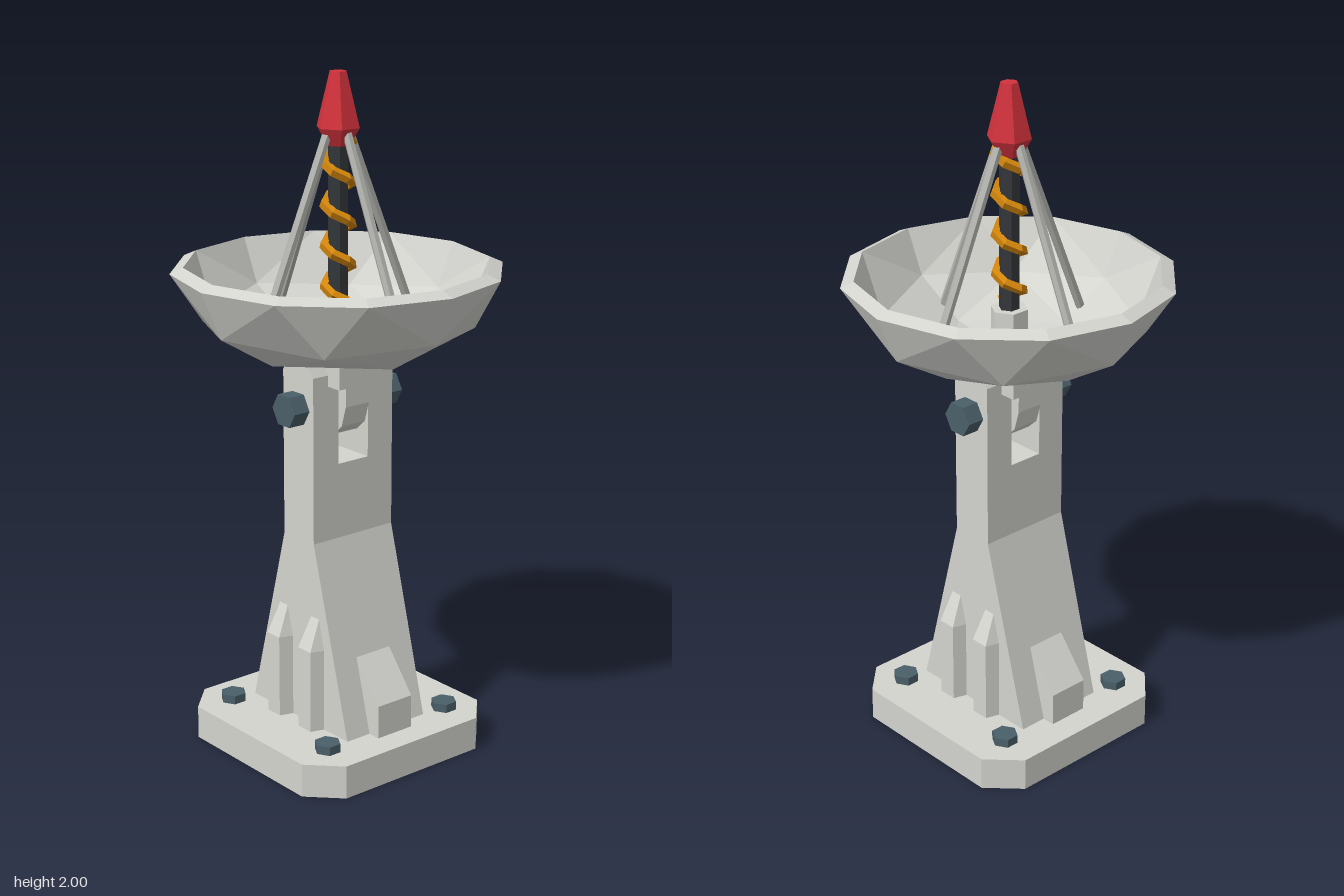
import * as THREE from 'three';
import { ConvexGeometry } from 'three/addons/geometries/ConvexGeometry.js';

const paint = (name, color) => Object.assign(new THREE.MeshStandardMaterial({ color }), { name });

export function createModel() {
  const model = new THREE.Group();
  model.name = 'dishAntenna';
  const body = paint('paleGrey', 0xd3d4ce);
  const steel = paint('strutGrey', 0xb4b5b0);
  const slate = paint('boltSlate', 0x4a5f69);
  const dark = paint('mastCharcoal', 0x34373a);
  const orange = paint('coilOrange', 0xd98a0c);
  const red = paint('tipRed', 0xd2323c);

  // Adds a faceted mesh
  const add = (name, geometry, material, x = 0, y = 0, z = 0) => {
    const g = geometry.index ? geometry.toNonIndexed() : geometry;
    g.computeVertexNormals();
    const mesh = new THREE.Mesh(g, material);
    mesh.name = name;
    mesh.position.set(x, y, z);
    model.add(mesh);
    return mesh;
  };
  // Extrudes an outline centred along z
  const slab = (points, depth) => {
    const shape = new THREE.Shape(points.map(([x, y]) => new THREE.Vector2(x, y)));
    return new THREE.ExtrudeGeometry(shape, { depth, bevelEnabled: false }).translate(0, 0, -depth / 2);
  };
  // Completes a right-hand outline with its mirror image
  const mirrored = (half) => [...half, ...half.map(([x, y]) => [-x, y]).reverse()];
  const hex = (top, bottom, height) => new THREE.CylinderGeometry(top, bottom, height, 6);

  // Base plate with cut corners, and its bolts
  const plate = slab(mirrored([[0.25, -0.34], [0.34, -0.25], [0.34, 0.25], [0.25, 0.34]]), 0.1);
  add('basePlate', plate.rotateX(-Math.PI / 2), body, 0, 0.05, 0);
  for (const x of [-1, 1]) for (const z of [-1, 1]) {
    add('baseBolt', hex(0.039, 0.039, 0.03), slate, x * 0.225, 0.111, z * 0.225);
  }

  // Tapered pillar and the two fork arms
  add('pillar', slab(mirrored([[0.22, 0.1], [0.068, 0.665], [0.068, 0.89]]), 0.294), body);
  const arm = mirrored([[0.068, 0.89], [0.068, 1.16], [0.048, 1.19]]);
  for (const s of [-1, 1]) add('forkArm', slab(arm, 0.092), body, 0, 0, s * 0.101);

  // Ribs on front and back, wedges on the sides
  for (const s of [-1, 1]) {
    for (const x of [-0.073, 0.073]) {
      const rib = [];
      for (const m of [-1, 1]) {
        for (const y of [0.1, 0.35]) {
          rib.push(new THREE.Vector3(x + m * 0.043, y, s * 0.14), new THREE.Vector3(x + m * 0.028, y, s * 0.188));
        }
        rib.push(new THREE.Vector3(x + m * 0.018, 0.44, s * 0.147), new THREE.Vector3(x + m * 0.018, 0.44, s * 0.14));
      }
      add('pillarRib', new ConvexGeometry(rib), body);
    }
    const wedge = slab([[0.1, 0.1], [0.26, 0.1], [0.26, 0.2], [0.158, 0.325], [0.1, 0.325]], 0.126);
    add('sideWedge', s < 0 ? wedge.rotateY(Math.PI) : wedge, body);
  }

  // Hinge: knuckle, bracket and pivot bolt
  add('hingeKnuckle', slab(mirrored([[0.035, 0.97], [0.068, 1.0], [0.086, 1.06], [0.086, 1.15]]), 0.086), body);
  add('dishBracket', new THREE.BoxGeometry(0.236, 0.07, 0.186), body, 0, 1.162, 0);
  add('pivotBolt', hex(0.051, 0.051, 0.4).rotateY(Math.PI / 6).rotateX(Math.PI / 2), slate, 0, 1.06, 0);

  // Dish: each quarter is a spherical triangle cut in rings of 12, 8, 4 and 1 points
  const dishPoint = (radius, depth, top) => (k, i, j) => {
    const turn = (k + (i < 3 ? j / (3 - i) : 0)) * Math.PI / 2;
    const drop = i === 1 && j === 1 ? Math.atan(Math.SQRT1_2) : i * Math.PI / 6;
    const r = radius * Math.cos(drop);
    return [r * Math.cos(turn), top - depth * Math.sin(drop), r * Math.sin(turn)];
  };
  const outer = dishPoint(0.478, 0.285, 1.445);
  const inner = dishPoint(0.44, 0.26, 1.462);
  const corners = [];
  const face = (a, b, c) => corners.push(...a, ...b, ...c);
  for (let k = 0; k < 4; k++) {
    for (let i = 0; i < 3; i++) for (let j = 0; j < 3 - i; j++) {
      for (const p of [outer, inner]) {
        const tri = (a, b, c) => (p === outer ? face(a, b, c) : face(a, c, b));
        tri(p(k, i, j), p(k, i, j + 1), p(k, i + 1, j));
        if (j < 2 - i) tri(p(k, i, j + 1), p(k, i + 1, j + 1), p(k, i + 1, j));
      }
    }
    for (let j = 0; j < 3; j++) {
      face(outer(k, 0, j), inner(k, 0, j), outer(k, 0, j + 1));
      face(outer(k, 0, j + 1), inner(k, 0, j), inner(k, 0, j + 1));
    }
  }
  const dish = new THREE.BufferGeometry();
  dish.setAttribute('position', new THREE.Float32BufferAttribute(corners, 3));
  add('dish', dish, body);

  // Feed mast with hub, coil and tip
  add('mastHub', hex(0.055, 0.055, 0.16), body, 0, 1.265, 0);
  add('mast', hex(0.03, 0.03, 0.5), dark, 0, 1.58, 0);
  const turns = 4;
  const path = [];
  for (let i = 0; i <= turns * 6; i++) {
    const a = i * Math.PI / 3;
    path.push(new THREE.Vector3(0.041 * Math.cos(a), 1.355 + 0.47 * i / (turns * 6), 0.041 * Math.sin(a)));
  }
  add('coil', new THREE.TubeGeometry(new THREE.CatmullRomCurve3(path), turns * 6, 0.015, 4), orange);
  add('tip', hex(0.025, 0.064, 0.155), red, 0, 1.9225, 0);
  add('tipCollar', hex(0.064, 0.035, 0.05), red, 0, 1.82, 0);

  // Four struts from the dish to the tip
  for (let k = 0; k < 4; k++) {
    const a = k * Math.PI / 2;
    const foot = new THREE.Vector3(0.29 * Math.cos(a), 1.25, 0.29 * Math.sin(a));
    const head = new THREE.Vector3(0.035 * Math.cos(a), 1.84, 0.035 * Math.sin(a));
    const strut = add('strut', hex(0.014, 0.014, foot.distanceTo(head)), steel);
    strut.position.copy(foot).lerp(head, 0.5);
    strut.quaternion.setFromUnitVectors(new THREE.Vector3(0, 1, 0), head.sub(foot).normalize());
  }
  return model;
}
